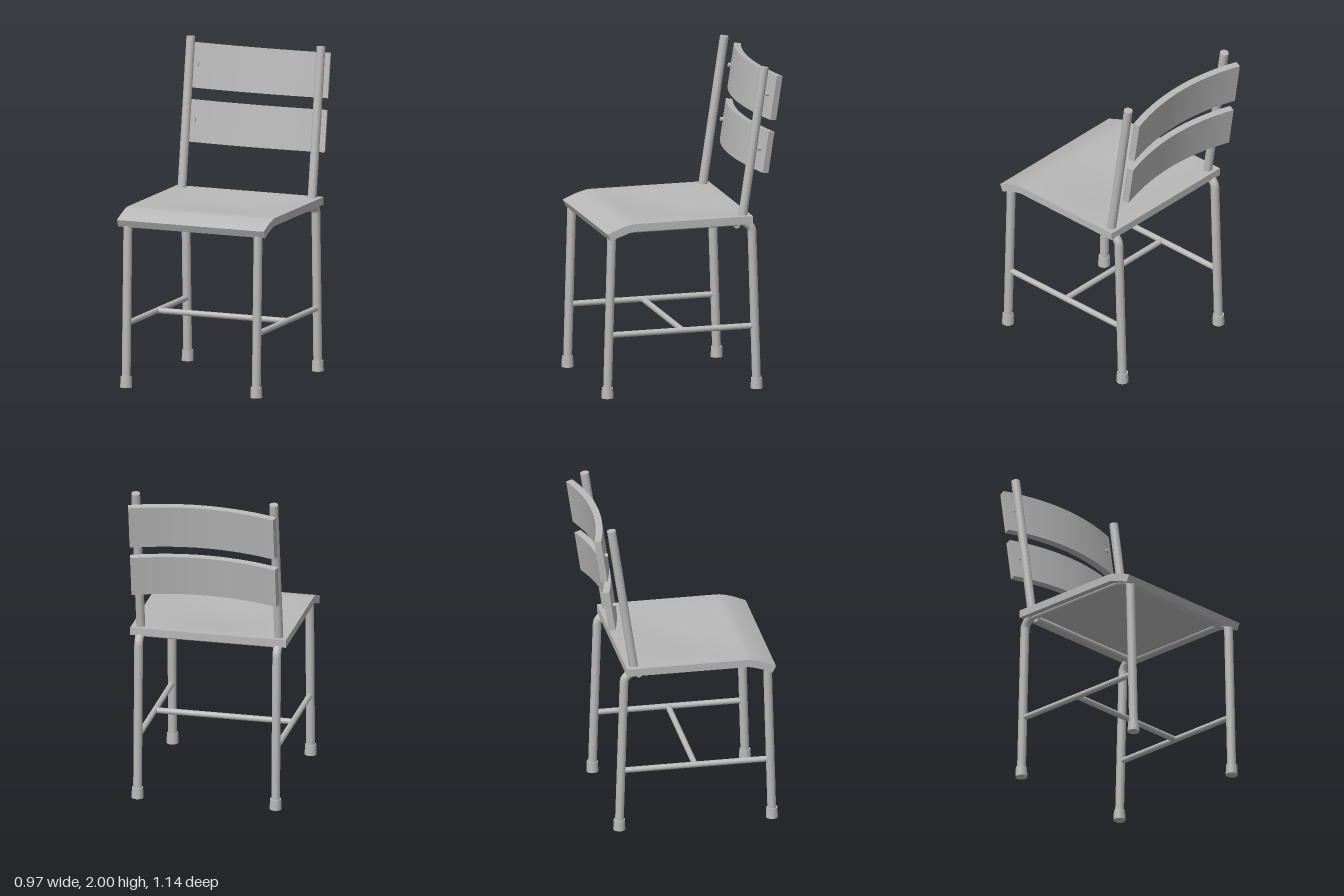
import * as THREE from 'three';
import { toCreasedNormals } from 'three/addons/utils/BufferGeometryUtils.js';

export function createModel() {
  const chair = new THREE.Group();
  chair.name = 'chair';
  const grey = new THREE.MeshStandardMaterial({ name: 'plain grey', color: 0xb8b8b8 });
  const V = (x, y, z) => new THREE.Vector3(x, y, z);

  function add(name, geometry) {
    const mesh = new THREE.Mesh(geometry, grey);
    mesh.name = name;
    chair.add(mesh);
    return mesh;
  }

  // Straight round bar between two points
  function rod(name, a, b, radius) {
    const dir = b.clone().sub(a);
    const mesh = add(name, new THREE.CylinderGeometry(radius, radius, dir.length(), 20));
    mesh.position.copy(a).add(b).multiplyScalar(0.5);
    mesh.quaternion.setFromUnitVectors(V(0, 1, 0), dir.normalize());
    return mesh;
  }

  // Leg with a bent top that turns in under the seat
  function bentLeg(name, x, foot, knee, end) {
    const a = V(x, 0.03, foot), k = V(x, knee[0], knee[1]), e = V(x, end[0], end[1]);
    const path = new THREE.CurvePath();
    const p = k.clone().lerp(a, 0.025), q = k.clone().lerp(e, 0.4);
    path.add(new THREE.LineCurve3(a, p));
    path.add(new THREE.QuadraticBezierCurve3(p, k, q));
    path.add(new THREE.LineCurve3(q, e));
    add(name, new THREE.TubeGeometry(path, 80, 0.027, 16));
    const cap = add('footCap', new THREE.CylinderGeometry(0.034, 0.037, 0.065, 24));
    cap.position.set(x, 0.0325, foot);
  }

  // Seat: shallow dish with the front edge rolled down
  const seat = new THREE.BoxGeometry(0.97, 0.05, 0.92, 20, 1, 40);
  const sp = seat.attributes.position;
  const drop = z => 0.055 * Math.pow(Math.max(0, (z - 0.38) / 0.17), 1.45);
  for (let i = 0; i < sp.count; i++) {
    const x = sp.getX(i), z = sp.getZ(i) + 0.09;
    const u = Math.min(1, Math.abs(x) / 0.485);
    const v = Math.min(1, Math.abs(z - 0.03) / 0.4);
    const dish = 0.022 * (1 - u * u) ** 2 * (1 - v * v) ** 2;
    const slope = (drop(z + 0.001) - drop(z - 0.001)) / 0.002;
    const n = Math.hypot(1, slope);
    const depth = sp.getY(i) > 0 ? 0 : 0.048;
    sp.setXYZ(i, x, 1.085 - drop(z) - dish - depth / n, z - depth * slope / n);
  }
  add('seat', toCreasedNormals(seat, 0.6));

  // Back slats: bowed boards leaning with the posts
  const lean = Math.atan(0.15);
  for (const [y, z, height] of [[1.818, -0.437, 0.275], [1.483, -0.387, 0.257]]) {
    const slat = new THREE.BoxGeometry(0.924, height, 0.042, 32, 1, 1);
    const p = slat.attributes.position;
    for (let i = 0; i < p.count; i++) {
      const x = p.getX(i), slope = -0.66 * x, n = Math.hypot(1, slope);
      const back = p.getZ(i) > 0 ? 0 : 0.042;
      p.setXYZ(i, x + back * slope / n * Math.sign(1), p.getY(i), -0.33 * x * x - back / n);
    }
    const mesh = add('backSlat', toCreasedNormals(slat, 0.6));
    mesh.position.set(0, y, z);
    mesh.rotation.x = -lean;

    // Bolts joining the slat to the posts
    for (const x of [-0.4, 0.4]) {
      rod('slatBolt', V(x, y + 0.003, z - 0.036), V(x, y, z - 0.06), 0.013);
    }
  }

  // Legs, posts and side rails, mirrored
  for (const x of [-0.43, 0.43]) {
    bentLeg('frontLeg', x, 0.535, [1.01, 0.508], [1.035, 0.42]);
    bentLeg('backLeg', x, -0.408, [1.005, -0.378], [1.055, -0.315]);
    rod('backPost', V(x, 1.04, -0.314), V(x, 1.996, -0.457), 0.027);
    rod('sideSeatRail', V(x, 1.037, 0.45), V(x, 1.037, -0.33), 0.018);
    rod('sideStretcher', V(x, 0.39, 0.52), V(x, 0.39, -0.395), 0.018);
  }

  // Cross bars
  rod('crossStretcher', V(-0.43, 0.39, 0.06), V(0.43, 0.39, 0.06), 0.018);
  rod('frontSeatRail', V(-0.43, 1.021, 0.455), V(0.43, 1.021, 0.455), 0.02);
  rod('backSeatRail', V(-0.43, 1.021, -0.285), V(0.43, 1.021, -0.285), 0.02);

  return chair;
}
